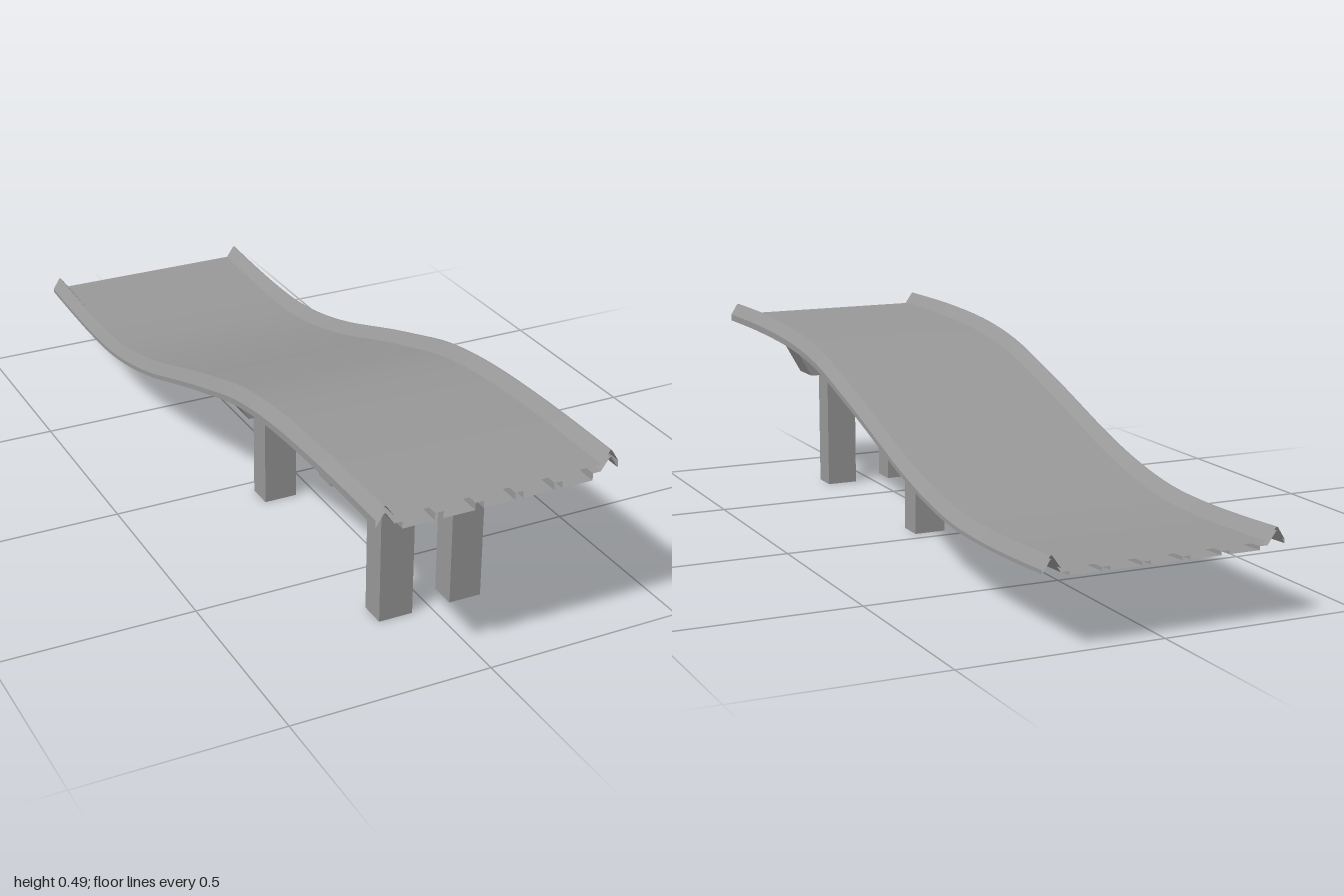
import * as THREE from 'three';

const material = new THREE.MeshStandardMaterial({ color: 0x999999, side: THREE.DoubleSide });

// S-shaped profile of the road surface, as (z, y) from front to back
const roadCurve = new THREE.SplineCurve([
  [1, 0.455], [0.75, 0.456], [0.5, 0.445], [0.3, 0.416], [0.12, 0.365], [0, 0.328], [-0.12, 0.288],
  [-0.25, 0.246], [-0.4, 0.208], [-0.55, 0.184], [-0.7, 0.178], [-0.85, 0.181], [-1, 0.188],
].map(([z, y]) => new THREE.Vector2(z, y)));
const STEPS = 48;
const path = roadCurve.getPoints(STEPS);

// the deck gets thinner towards the low end
const deckDepth = (z) => THREE.MathUtils.clamp(0.0265 + 0.01214 * z, 0.018, 0.035);

// Sweep a cross-section of [x, height, depthFactor] points along the road.
// Every facet has its own vertices: crisp along the length, smooth over the curve.
function sweep(name, section) {
  const positions = [], index = [];
  for (let s = 0; s < section.length - 1; s++) {
    const base = positions.length / 3;
    for (const p of path) {
      for (const [x, h, d] of [section[s], section[s + 1]]) {
        positions.push(x, p.y + h - d * deckDepth(p.x), p.x);
      }
    }
    for (let i = 0; i < STEPS; i++) {
      const a = base + i * 2;
      index.push(a, a + 1, a + 2, a + 1, a + 3, a + 2);
    }
  }
  const geo = new THREE.BufferGeometry();
  geo.setAttribute('position', new THREE.Float32BufferAttribute(positions, 3));
  geo.setIndex(index);
  geo.computeVertexNormals();
  const mesh = new THREE.Mesh(geo, material);
  mesh.name = name;
  return mesh;
}

// Tapered crossbeam with planar slanted ends; its top follows the slope of the road
function crossbeam(z, bottom, topFront, topBack) {
  const geo = new THREE.BoxGeometry(2, 1, 0.088);
  const pos = geo.attributes.position;
  for (let i = 0; i < pos.count; i++) {
    const topY = pos.getZ(i) > 0 ? topFront : topBack;
    const y = pos.getY(i) > 0 ? topY : bottom;
    const halfWidth = 0.185 + 0.066 * (y - bottom) / (topFront - bottom);
    pos.setX(i, pos.getX(i) * halfWidth);
    pos.setY(i, y);
  }
  geo.computeVertexNormals();
  const mesh = new THREE.Mesh(geo, material);
  mesh.name = 'crossbeam';
  mesh.position.z = z;
  return mesh;
}

// Hollow square column, open at the top and bottom
function column(name, x0, x1, height, z) {
  const geo = new THREE.BoxGeometry(x1 - x0, height, 0.068);
  const faces = Array.from(geo.index.array);
  faces.splice(12, 12);
  geo.setIndex(faces);
  const mesh = new THREE.Mesh(geo, material);
  mesh.name = name;
  mesh.position.set((x0 + x1) / 2, height / 2, z);
  return mesh;
}

function pier(name, z, height, topFront, topBack) {
  const group = new THREE.Group();
  group.name = name;
  group.add(
    crossbeam(z, height, topFront, topBack),
    column('rightColumn', -0.137, -0.05, height, z),
    column('leftColumn', 0.05, 0.133, height, z),
  );
  return group;
}

export function createModel() {
  const model = new THREE.Group();
  model.name = 'curvedRamp';

  // road deck
  model.add(sweep('roadSurface', [[-0.256, 0, 0], [0.256, 0, 0]]));

  // folded guard rails: upper skin, outer lip and lower skin
  const rail = [
    [0.256, 0, 0], [0.277, 0.03, 0], [0.281, 0.03, 0], [0.3, 0, 0],
    [0.3, 0, 0.5], [0.281, 0.03, 0.5], [0.277, 0.03, 0.5], [0.256, 0, 0.5],
  ];
  model.add(sweep('leftRail', rail));
  model.add(sweep('rightRail', rail.map(([x, h, d]) => [-x, h, d]).reverse()));

  // underside with five lengthwise ribs
  const under = [[0.256, 0, 0.5]];
  for (let i = 2; i >= -2; i--) {
    const x = i * 0.0985;
    under.push([x + 0.039, 0, 0.5], [x + 0.039, 0, 1], [x - 0.039, 0, 1], [x - 0.039, 0, 0.5]);
  }
  under.push([-0.256, 0, 0.5]);
  model.add(sweep('ribbedUnderside', under));

  // supports
  model.add(pier('frontPier', 0.693, 0.321, 0.438, 0.438));
  model.add(pier('middlePier', 0.075, 0.255, 0.359, 0.334));
  return model;
}
